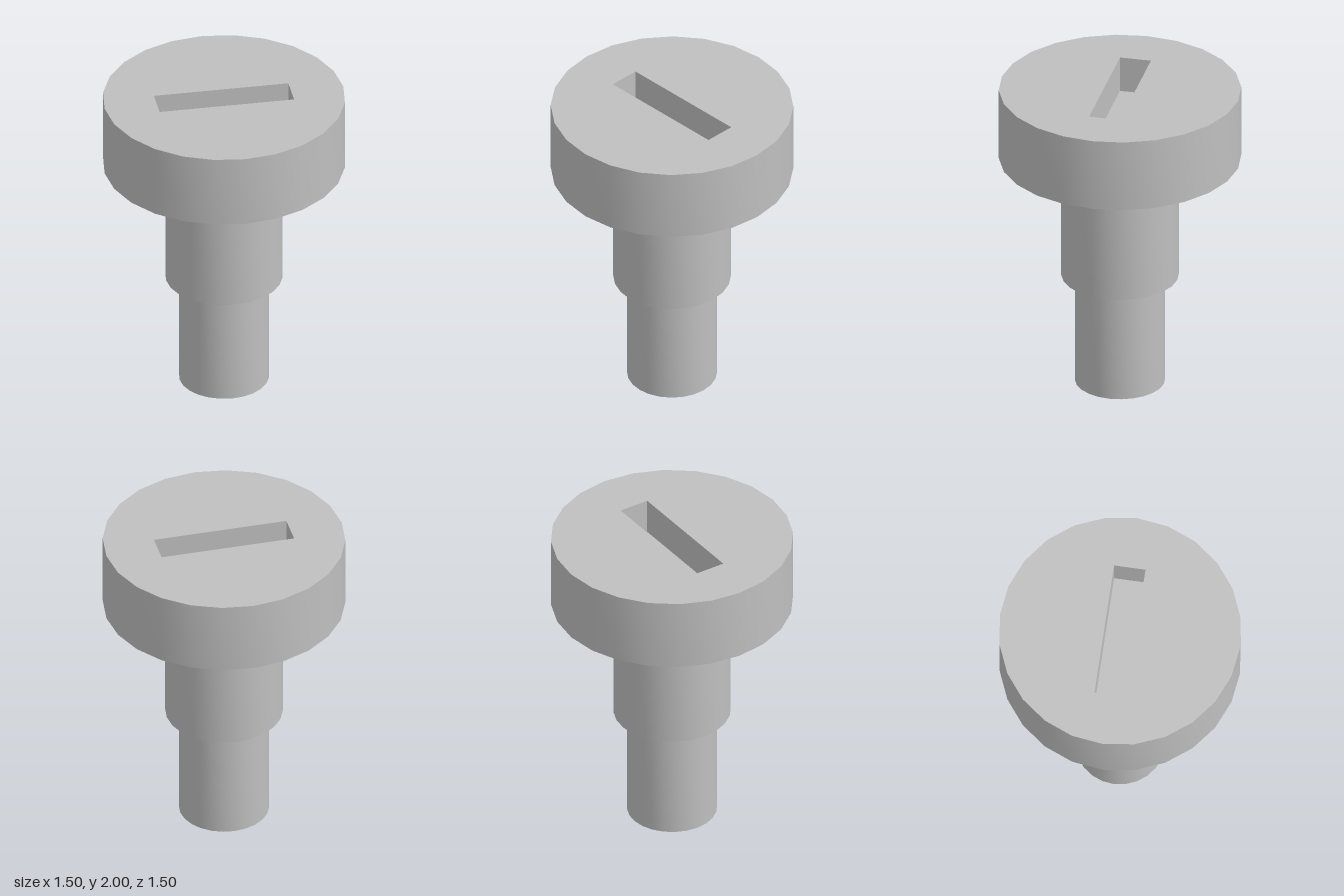
import * as THREE from 'three';
import { toCreasedNormals } from 'three/addons/utils/BufferGeometryUtils.js';

const SIDES = 24;
const HEAD_R = 0.748, SHOULDER_R = 0.363, SHANK_R = 0.278;
const SHANK_TOP = 0.725, SHOULDER_TOP = 1.535, TOP = 2;
const SLOT = { length: 0.842, width: 0.196, depth: 0.23 };

export function createModel() {
  const model = new THREE.Group();
  model.name = 'slottedShoulderScrew';
  const steel = new THREE.MeshStandardMaterial({ color: 0xbfbfbf });
  steel.name = 'grey steel';

  const add = (name, geometry) => {
    const mesh = new THREE.Mesh(geometry, steel);
    mesh.name = name;
    model.add(mesh);
  };

  // Each turned part: a flat underside from the inner radius, then its wall
  const turned = (name, inner, radius, y0, y1) => {
    const profile = [[inner, y0], [radius, y0], [radius, y1]].map(([r, y]) => new THREE.Vector2(r, y));
    add(name, toCreasedNormals(new THREE.LatheGeometry(profile, SIDES), Math.PI / 6));
  };
  turned('shank', 0, SHANK_R, 0, SHANK_TOP);
  turned('shoulder', SHANK_R, SHOULDER_R, SHANK_TOP, SHOULDER_TOP);
  turned('head', SHOULDER_R, HEAD_R, SHOULDER_TOP, TOP);

  // Top of the head, pierced by the slot
  const rim = [];
  for (let i = 0; i < SIDES; i++) {
    const a = (i / SIDES) * Math.PI * 2;
    rim.push(new THREE.Vector2(HEAD_R * Math.cos(a), HEAD_R * Math.sin(a)));
  }
  const face = new THREE.Shape(rim);
  const hx = SLOT.length / 2, hz = SLOT.width / 2;
  face.holes.push(new THREE.Path([[-hx, -hz], [-hx, hz], [hx, hz], [hx, -hz]].map(([x, y]) => new THREE.Vector2(x, y))));
  add('headTop', new THREE.ShapeGeometry(face).rotateX(-Math.PI / 2).translate(0, TOP, 0));

  // Slot recess: a box turned inside out, without its lid
  const slot = new THREE.BoxGeometry(SLOT.length, SLOT.depth, SLOT.width);
  slot.setIndex(Array.from(slot.index.array).filter((_, i) => i < 12 || i >= 18));
  slot.clearGroups();
  slot.scale(-1, 1, 1).translate(0, TOP - SLOT.depth / 2, 0);
  slot.computeVertexNormals();
  add('driveSlot', slot);

  return model;
}
